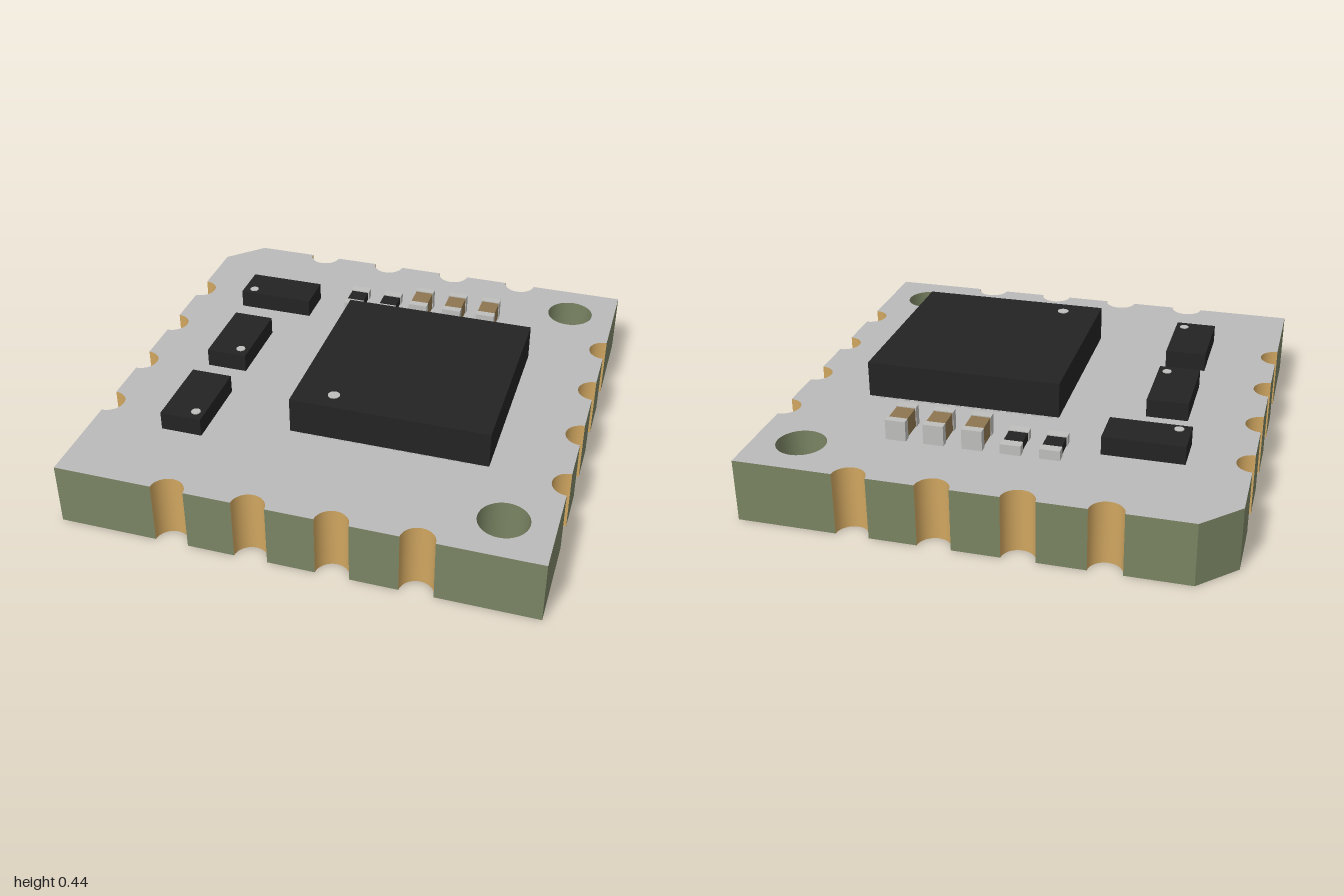
import * as THREE from 'three';

const mat = (name, color, side = THREE.FrontSide) => {
  const m = new THREE.MeshStandardMaterial({ color, side });
  m.name = name;
  return m;
};

export function createModel() {
  const model = new THREE.Group();
  model.name = 'circuitModule';
  const grey = mat('light grey', 0xbababa);
  const olive = mat('olive laminate', 0x7a8463, THREE.DoubleSide);
  const gold = mat('gold plating', 0xd0a660, THREE.DoubleSide);
  const black = mat('black plastic', 0x232323);
  const tan = mat('tan ceramic', 0x8e7650);
  const silver = mat('silver solder', 0xbebebc);

  const H = 0.272, R = 0.07, CUT = 0.85, HOLE = 0.104;
  const centres = [-0.51, -0.17, 0.17, 0.51];

  const add = (name, geo, material, x = 0, y = 0, z = 0, parent = model) => {
    const m = new THREE.Mesh(geo, material);
    m.name = name;
    m.position.set(x, y, z);
    parent.add(m);
    return m;
  };
  // box given by its limits in x, y and z
  const box = (name, material, x0, x1, y0, y1, z0, z1, parent) =>
    add(name, new THREE.BoxGeometry(x1 - x0, y1 - y0, z1 - z0), material,
      (x0 + x1) / 2, (y0 + y1) / 2, (z0 + z1) / 2, parent);

  // Board edges: four sides with plated half-round notches; one corner is cut
  const outline = [];
  for (let k = 0; k < 4; k++) {
    const angle = k * Math.PI / 2;
    const side = new THREE.Group();
    side.name = 'boardSide';
    side.rotation.y = angle;
    model.add(side);
    const point = (x, z) => outline.push([
      x * Math.cos(angle) + z * Math.sin(angle),
      -x * Math.sin(angle) + z * Math.cos(angle)]);
    let from = k === 3 ? -CUT : -1;
    const end = k === 2 ? CUT : 1;
    point(from, 1);
    const wall = to => {
      add('edgeWall', new THREE.PlaneGeometry(to - from, H), olive, (from + to) / 2, H / 2, 1, side);
    };
    for (const c of centres) {
      wall(c - R);
      add('platedNotch', new THREE.CylinderGeometry(R, R, H, 16, 1, true, Math.PI / 2, Math.PI),
        gold, c, H / 2, 1, side);
      for (let i = 0; i <= 16; i++) {
        const t = Math.PI * (1.5 - i / 16);
        point(c + R * Math.sin(t), 1 + R * Math.cos(t));
      }
      from = c + R;
    }
    wall(end);
    if (k === 2) point(end, 1);
  }
  const cut = add('cutCorner', new THREE.PlaneGeometry((1 - CUT) * Math.SQRT2, H), olive,
    -(1 + CUT) / 2, H / 2, -(1 + CUT) / 2);
  cut.rotation.y = -Math.PI * 0.75;

  // Board faces with two mounting holes
  const face = s => {
    const shape = new THREE.Shape(outline.map(([x, z]) => new THREE.Vector2(x, s * z)));
    for (const z of [-0.795, 0.795]) {
      shape.holes.push(new THREE.Path().absarc(0.795, s * z, HOLE, 0, Math.PI * 2, true));
    }
    return new THREE.ShapeGeometry(shape, 16).rotateX(s * Math.PI / 2);
  };
  add('boardTop', face(-1), grey, 0, H, 0);
  add('boardBottom', face(1), grey);
  for (const z of [-0.795, 0.795]) {
    add('mountingHole', new THREE.CylinderGeometry(HOLE, HOLE, H, 32, 1, true), olive, 0.795, H / 2, z);
  }

  // Chips with a round orientation mark
  const chip = (name, x0, x1, y0, y1, z0, z1, dx, dz, r) => {
    const g = new THREE.Group();
    g.name = name;
    model.add(g);
    box('chipBody', black, x0, x1, y0, y1, z0, z1, g);
    add('chipMark', new THREE.CylinderGeometry(r, r, 0.004, 20), silver, dx, y1 + 0.001, dz, g);
  };
  chip('mainChip', -0.17, 0.675, 0.284, 0.44, -0.342, 0.504, -0.003, 0.42, 0.025);
  chip('rearChip', -0.74, -0.4, H, 0.352, -0.586, -0.412, -0.69, -0.447, 0.02);
  chip('middleChip', -0.695, -0.517, H, 0.352, -0.217, 0.123, -0.556, 0.073, 0.02);
  chip('frontChip', -0.695, -0.517, H, 0.352, 0.29, 0.63, -0.556, 0.58, 0.02);

  // Contact pads under the main chip
  for (let i = 0; i < 14; i++) {
    const d = -0.375 + i * 0.75 / 13;
    for (const s of [-1, 1]) {
      add('contactPad', new THREE.BoxGeometry(0.026, 0.014, 0.06), silver, 0.2525 + d, 0.278, 0.081 + s * 0.385);
      add('contactPad', new THREE.BoxGeometry(0.06, 0.014, 0.026), silver, 0.2525 + s * 0.385, 0.278, 0.081 + d);
    }
  }

  // Row of two resistors and three capacitors with end caps
  [-0.213, -0.052, 0.108, 0.27, 0.431].forEach((x, i) => {
    const resistor = i < 2;
    const top = resistor ? 0.315 : 0.36;
    const inner = resistor ? 0.042 : 0.049;
    const g = new THREE.Group();
    g.name = resistor ? 'resistor' : 'capacitor';
    model.add(g);
    box('componentBody', resistor ? black : tan, x - 0.04, x + 0.04, H + 0.003, top - 0.004,
      -0.597 - inner, -0.597 + inner, g);
    box('endCap', silver, x - 0.043, x + 0.043, H, top, -0.68, -0.597 - inner, g);
    box('endCap', silver, x - 0.043, x + 0.043, H, top, -0.597 + inner, -0.514, g);
  });

  return model;
}
